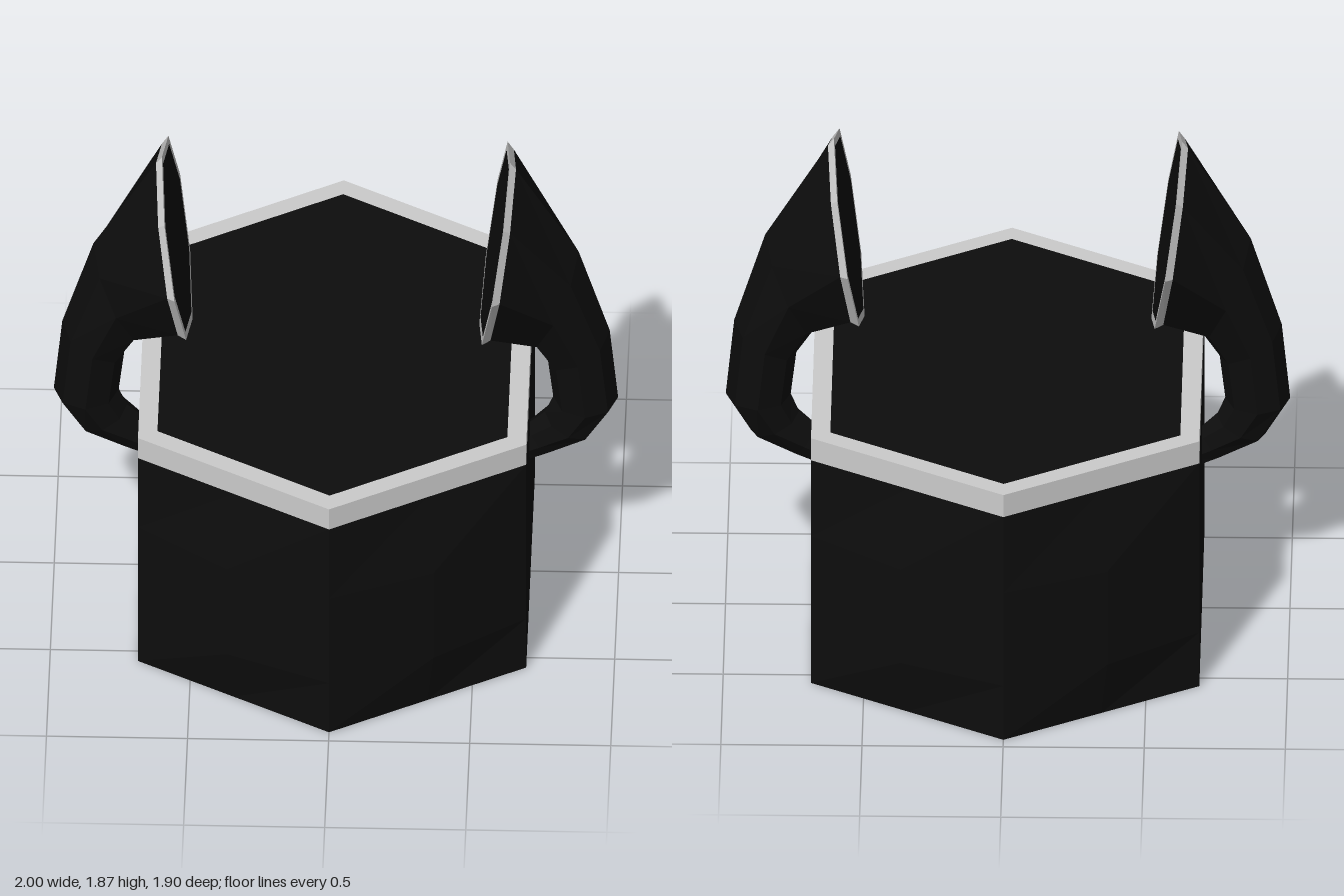
import * as THREE from 'three';

const black = new THREE.MeshStandardMaterial({ color: 0x0d0d0d });
black.name = 'black';
const grey = new THREE.MeshStandardMaterial({ color: 0xcccccc });
grey.name = 'light grey';

// Joins successive rings of points with flat faces; rings run anticlockwise about the loft direction.
function loft(name, rings, material) {
  const pos = [];
  const tri = (a, b, c) => {
    if (a.distanceTo(b) < 1e-6 || b.distanceTo(c) < 1e-6 || c.distanceTo(a) < 1e-6) return;
    for (const p of [a, b, c]) pos.push(p.x, p.y, p.z);
  };
  for (let r = 0; r < rings.length - 1; r++) {
    const n = rings[r].length;
    for (let i = 0; i < n; i++) {
      const j = (i + 1) % n;
      const a = rings[r][i], b = rings[r][j], c = rings[r + 1][j], d = rings[r + 1][i];
      tri(a, b, c);
      tri(a, c, d);
    }
  }
  const geometry = new THREE.BufferGeometry();
  geometry.setAttribute('position', new THREE.Float32BufferAttribute(pos, 3));
  geometry.computeVertexNormals();
  const mesh = new THREE.Mesh(geometry, material);
  mesh.name = name;
  return mesh;
}

const centreOf = (ring) => {
  const c = new THREE.Vector3();
  ring.forEach((p) => c.add(p));
  return c.divideScalar(ring.length);
};
const scaled = (ring, s) => {
  const c = centreOf(ring);
  return ring.map((p) => p.clone().sub(c).multiplyScalar(s).add(c));
};

// Hexagon with a point at front and back; the slanted faces can bulge at their middles.
function hexRing(y, x, zSide, zPoint, bulge = 0) {
  const corners = [[0, zPoint], [x, zSide], [x, -zSide], [0, -zPoint], [-x, -zSide], [-x, zSide]];
  const ring = [];
  corners.forEach(([ax, az], i) => {
    const [bx, bz] = corners[(i + 1) % 6];
    const mid = new THREE.Vector3((ax + bx) / 2, y, (az + bz) / 2);
    if (i % 3 !== 1) {
      mid.x += Math.sign(mid.x) * bulge * 0.5;
      mid.z += Math.sign(mid.z) * bulge * 0.87;
    }
    ring.push(new THREE.Vector3(ax, y, az), mid);
  });
  return ring;
}

// Eight-sided section through an outer and an inner point, half as deep as given in z.
function armRing([ox, oy, ix, iy, depth], side) {
  const ring = [];
  for (let i = 0; i < 8; i++) {
    const a = (i / 8) * Math.PI * 2;
    const t = (1 + Math.cos(a)) / 2;
    ring.push(new THREE.Vector3(
      side * (ix + (ox - ix) * t), iy + (oy - iy) * t, 0.055 + Math.sin(a) * depth));
  }
  return side < 0 ? ring.reverse() : ring;
}

// Curved horn that rises from the body side and flares to an inward facing disc.
function makeArm(side) {
  const arm = new THREE.Group();
  arm.name = side > 0 ? 'leftArm' : 'rightArm';
  const rim = armRing([0.617, 1.872, 0.508, 1.15, 0.368], side);
  const band = armRing([0.638, 1.845, 0.54, 1.162, 0.342], side);
  const face = scaled(rim, 0.92);
  const sections = [
    [0.86, 1.48, 0.69, 1.09, 0.18],
    [0.97, 1.13, 0.75, 1.0, 0.135],
    [1.0, 0.83, 0.77, 0.83, 0.125],
    [0.91, 0.68, 0.74, 0.76, 0.1],
    [0.76, 0.595, 0.68, 0.705, 0.07],
    [0.64, 0.54, 0.6, 0.66, 0.06],
  ].map((s) => armRing(s, side));
  arm.add(
    loft('armHorn', [band, ...sections, scaled(sections.at(-1), 0)], black),
    loft('armRim', [face, rim, band], grey),
    loft('armDisc', [scaled(face, 0), face], black),
  );
  return arm;
}

export function createModel() {
  const model = new THREE.Group();
  model.name = 'hexagonalVessel';

  // Body with softly bulging slanted faces
  const outer = (y, bulge) => hexRing(y, 0.688, 0.557, 0.95, bulge);
  const base = outer(0);
  const shoulder = outer(0.91);
  model.add(loft('body',
    [scaled(base, 0), base, outer(0.22, 0.045), outer(0.6, 0.045), shoulder], black));

  // Rim band and the flat lid inside it
  const lidEdge = hexRing(1, 0.62, 0.515, 0.87);
  model.add(loft('bodyRim', [shoulder, outer(1), lidEdge], grey));
  model.add(loft('lid', [lidEdge, scaled(lidEdge, 0)], black));

  for (const side of [1, -1]) model.add(makeArm(side));
  return model;
}
